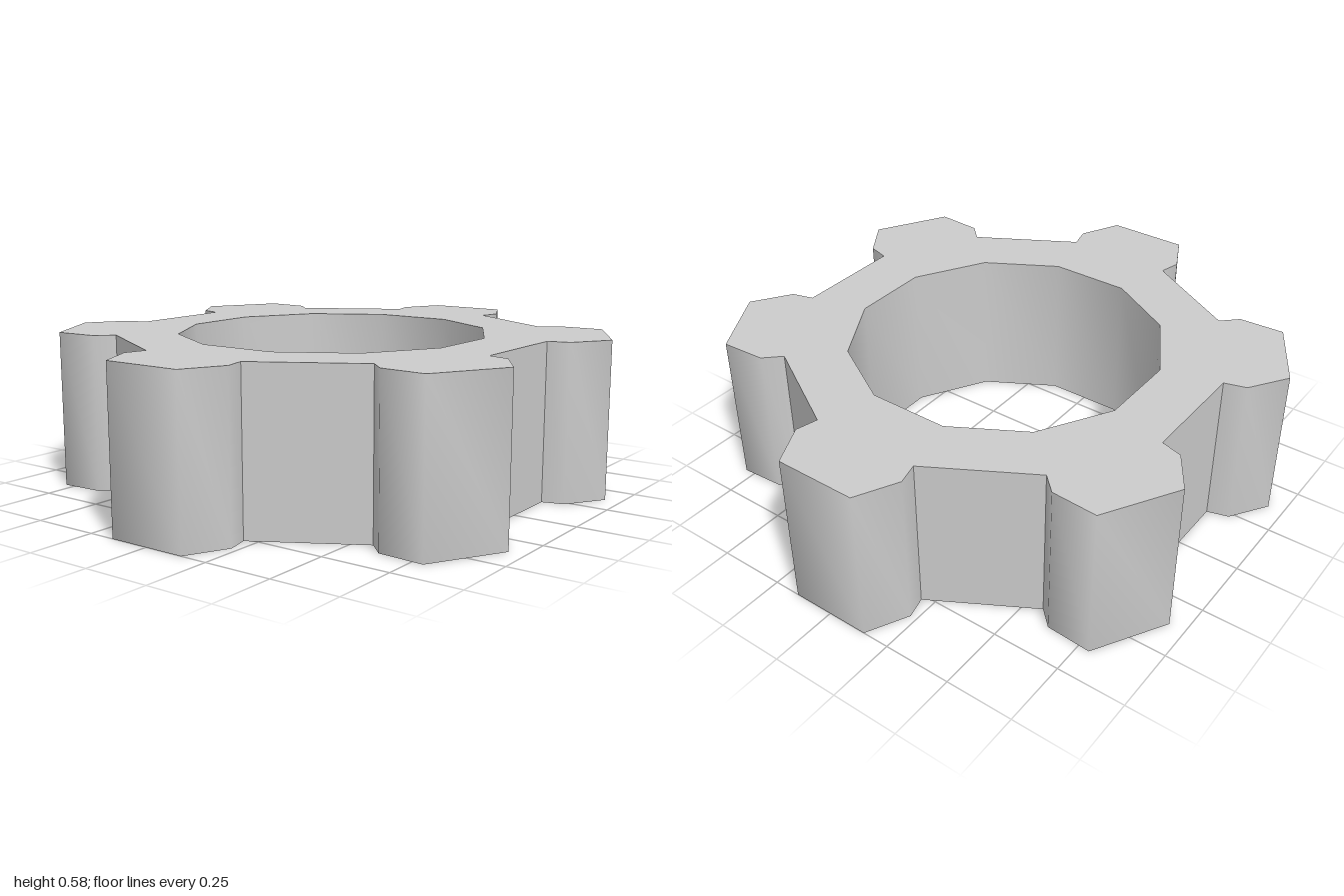
import * as THREE from 'three';
import { toCreasedNormals } from 'three/addons/utils/BufferGeometryUtils.js';

const HEIGHT = 0.58;
const LOBES = 6;
const BORE_SIDES = 12;
const BORE_RADIUS = 0.573;

// Half of one lobe, from its neck to its outer corner; mirrored for the other half
const HALF_LOBE = [[0.205, 0.77], [0.225, 0.85], [0.15, 1]];

export function createModel() {
  const group = new THREE.Group();
  group.name = 'lobedRing';

  // Outline: the lobe repeated around the centre, joined by straight walls
  const lobe = [...HALF_LOBE, ...HALF_LOBE.map(([x, y]) => [-x, y]).reverse()];
  const outline = [];
  for (let i = 0; i < LOBES; i++) {
    const angle = (i / LOBES) * Math.PI * 2;
    for (const [x, y] of lobe) {
      outline.push(new THREE.Vector2(x, y).rotateAround(new THREE.Vector2(), angle));
    }
  }
  const shape = new THREE.Shape(outline);

  // Twelve-sided bore
  const bore = [];
  for (let i = 0; i < BORE_SIDES; i++) {
    const a = ((i + 0.5) / BORE_SIDES) * Math.PI * 2;
    bore.push(new THREE.Vector2(Math.cos(a) * BORE_RADIUS, Math.sin(a) * BORE_RADIUS));
  }
  shape.holes.push(new THREE.Path(bore));

  // Extruded upwards; lobes and bore shade smoothly, necks and rims stay sharp
  const extruded = new THREE.ExtrudeGeometry(shape, { depth: HEIGHT, bevelEnabled: false });
  extruded.rotateX(-Math.PI / 2);
  const geometry = toCreasedNormals(extruded, THREE.MathUtils.degToRad(70));

  const ring = new THREE.Mesh(geometry, new THREE.MeshStandardMaterial({ color: 0xcccccc }));
  ring.name = 'ringBody';
  group.add(ring);
  return group;
}
